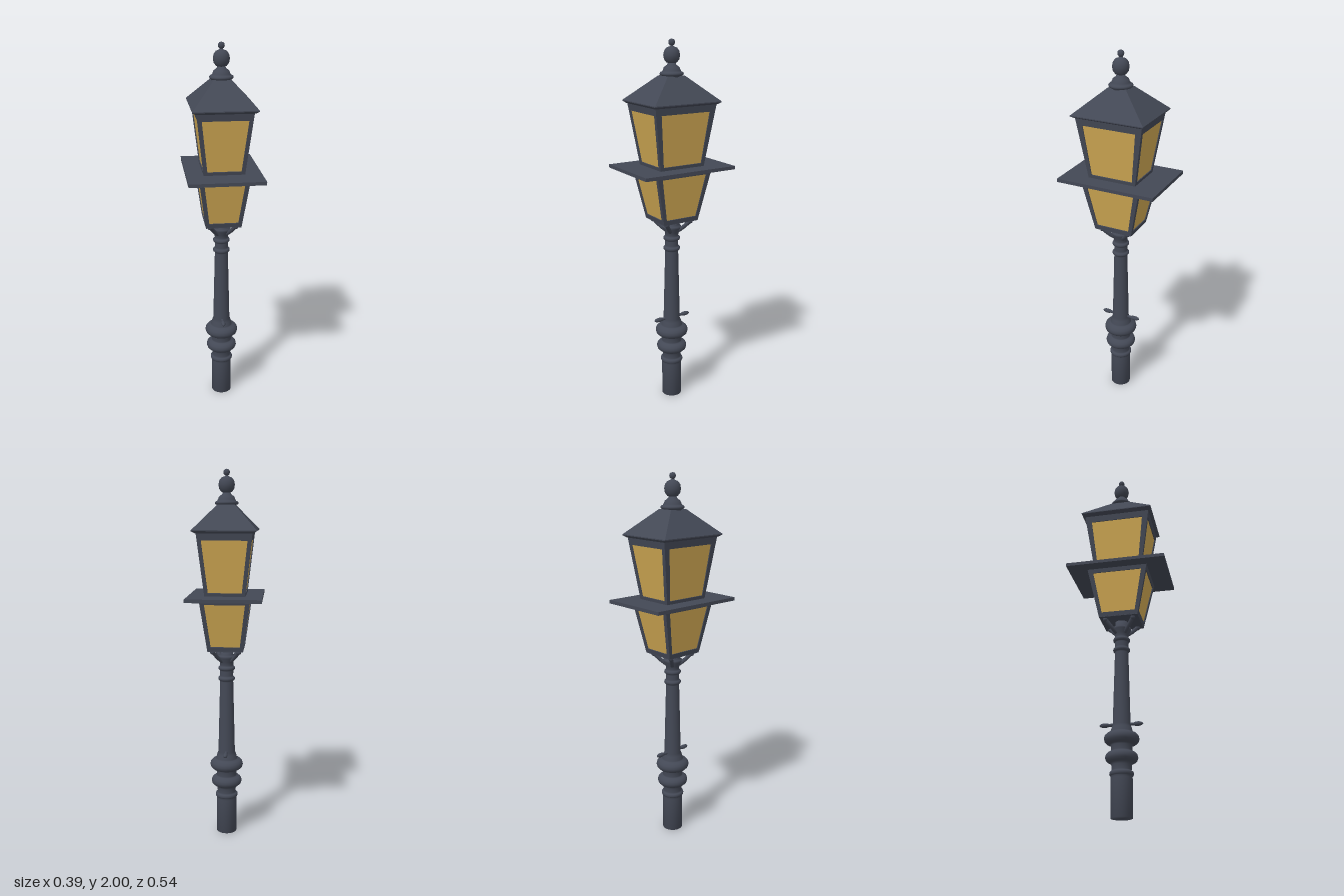
import * as THREE from 'three';

export function createModel() {
  const iron = new THREE.MeshStandardMaterial({ color: 0x434855 });
  iron.name = 'dark iron';
  const amber = new THREE.MeshStandardMaterial({ color: 0xcda652, side: THREE.DoubleSide });
  amber.name = 'amber glass';

  const model = new THREE.Group();
  model.name = 'streetLamp';
  const add = (name, geometry, material = iron, parent = model) => {
    const mesh = new THREE.Mesh(geometry, material);
    mesh.name = name;
    parent.add(mesh);
    return mesh;
  };
  const lathe = (points, segments = 28) =>
    new THREE.LatheGeometry(points.map(([r, y]) => new THREE.Vector2(r, y)), segments);

  // Half-round moulding around a round column
  const bead = (inner, outer, y, half) => Array.from({ length: 7 }, (_, i) => {
    const a = (i / 6 - 0.5) * Math.PI;
    return [inner + (outer - inner) * Math.cos(a), y + half * Math.sin(a)];
  });

  // Box tapering from half sizes (x0, z0) at y0 to (x1, z1) at y1
  const taperedBox = (x0, z0, y0, x1, z1, y1) => {
    const g = new THREE.BoxGeometry(2, 1, 2).toNonIndexed();
    const p = g.attributes.position;
    for (let i = 0; i < p.count; i++) {
      const top = p.getY(i) > 0;
      p.setXYZ(i, p.getX(i) * (top ? x1 : x0), top ? y1 : y0, p.getZ(i) * (top ? z1 : z0));
    }
    g.computeVertexNormals();
    return g;
  };

  // Post: plain foot, swelling collars, tapered shaft and neck rings
  add('post', lathe([
    [0, 0.005], [0.055, 0.005], [0.055, 0.2],
    ...bead(0.054, 0.062, 0.222, 0.012),
    [0.05, 0.24], [0.052, 0.265],
    ...bead(0.056, 0.084, 0.305, 0.028),
    [0.055, 0.34], [0.055, 0.365],
    ...bead(0.06, 0.091, 0.402, 0.03),
    [0.058, 0.438], [0.052, 0.46], [0.046, 0.475], [0.036, 0.875],
    ...bead(0.036, 0.046, 0.892, 0.011),
    [0.036, 0.91], [0.036, 0.935],
    ...bead(0.036, 0.046, 0.95, 0.011),
    [0.036, 0.968], [0.037, 0.985], [0.05, 1.008], [0.05, 1.02],
    [0.034, 1.026], [0.034, 1.06], [0, 1.06],
  ]));

  // Ladder bar with rounded ends
  const bar = new THREE.Group();
  bar.name = 'ladderBar';
  bar.position.set(0, 0.478, -0.002);
  model.add(bar);
  add('barRod', new THREE.CylinderGeometry(0.008, 0.008, 0.2, 12), iron, bar).rotation.x = Math.PI / 2;
  for (const s of [-1, 1]) {
    const knob = add('barKnob', new THREE.SphereGeometry(0.012, 12, 8), iron, bar);
    knob.scale.z = 2.4;
    knob.position.z = s * 0.086;
  }

  // Curved brackets reaching out to the lantern corners
  for (const sx of [-1, 1]) for (const sz of [-1, 1]) {
    const curve = new THREE.QuadraticBezierCurve3(
      new THREE.Vector3(sx * 0.022, 0.99, sz * 0.022),
      new THREE.Vector3(sx * 0.05, 1.015, sz * 0.05),
      new THREE.Vector3(sx * 0.07, 1.055, sz * 0.076));
    add('bracket', new THREE.TubeGeometry(curve, 8, 0.011, 8));
    add('bracketFoot', new THREE.SphereGeometry(0.013, 10, 8)).position.set(sx * 0.07, 1.05, sz * 0.076);
  }

  // Trapezium outline from half widths at two heights
  const trapezium = (Type, w0, y0, w1, y1) => {
    const s = new Type();
    s.moveTo(-w0, y0);
    s.lineTo(w0, y0);
    s.lineTo(w1, y1);
    s.lineTo(-w1, y1);
    s.closePath();
    return s;
  };

  // One leaning lantern side: frame with an opening and a glass pane
  const panel = (name, parent, turn, y0, y1, half0, half1, out0, out1, low, high, g0, g1) => {
    const h = y1 - y0, length = Math.hypot(h, out1 - out0), k = length / h;
    const side = new THREE.Group();
    side.name = name;
    side.rotation.order = 'YXZ';
    side.rotation.set(Math.atan2(out1 - out0, h), turn, 0);
    side.position.set(Math.sin(turn) * out0, y0, Math.cos(turn) * out0);
    parent.add(side);
    const opening = [g0, (low - y0) * k, g1, (high - y0) * k];
    const frame = trapezium(THREE.Shape, half0, 0, half1, length);
    frame.holes.push(trapezium(THREE.Path, ...opening));
    const g = new THREE.ExtrudeGeometry(frame, { depth: 0.012, bevelEnabled: false });
    g.translate(0, 0, -0.012);
    add('frame', g, iron, side);
    add('glass', new THREE.ShapeGeometry(trapezium(THREE.Shape, ...opening)), amber, side).position.z = -0.005;
  };

  // Lantern tiers: heights, half sizes, and pane openings for both side widths
  const tiers = [
    { name: 'lowerLantern', y: [1.06, 1.336], x: [0.095, 0.132], z: [0.106, 0.165],
      pane: [1.082, 1.312], gx: [0.077, 0.106], gz: [0.091, 0.134] },
    { name: 'upperLantern', y: [1.35, 1.688], x: [0.106, 0.144], z: [0.132, 0.184],
      pane: [1.37, 1.64], gx: [0.088, 0.118], gz: [0.115, 0.145] },
  ];
  for (const t of tiers) {
    const tier = new THREE.Group();
    tier.name = t.name;
    model.add(tier);
    for (let i = 0; i < 4; i++) {
      const [w, d, g] = i % 2 ? [t.z, t.x, t.gz] : [t.x, t.z, t.gx];
      panel('lanternSide', tier, i * Math.PI / 2, ...t.y, ...w, ...d, ...t.pane, ...g);
    }
  }
  add('lanternFloor', taperedBox(0.094, 0.105, 1.056, 0.095, 0.106, 1.07));
  add('middlePlate', taperedBox(0.195, 0.27, 1.335, 0.195, 0.27, 1.353));

  // Hipped roof with a thin eave
  add('eave', taperedBox(0.146, 0.186, 1.676, 0.165, 0.198, 1.687));
  add('eaveEdge', taperedBox(0.165, 0.198, 1.687, 0.165, 0.198, 1.692));
  add('roof', taperedBox(0.165, 0.198, 1.692, 0.046, 0.052, 1.818));

  // Finial: collar, neck, ball and tip
  add('finial', lathe([
    [0.045, 1.8], [0.052, 1.815],
    ...bead(0.05, 0.062, 1.828, 0.01),
    [0.046, 1.845], [0.04, 1.86], [0.024, 1.872], [0.018, 1.885],
    ...bead(0.012, 0.043, 1.92, 0.042),
    [0.009, 1.966],
    ...bead(0.005, 0.017, 1.983, 0.016),
    [0, 2],
  ]));

  return model;
}
